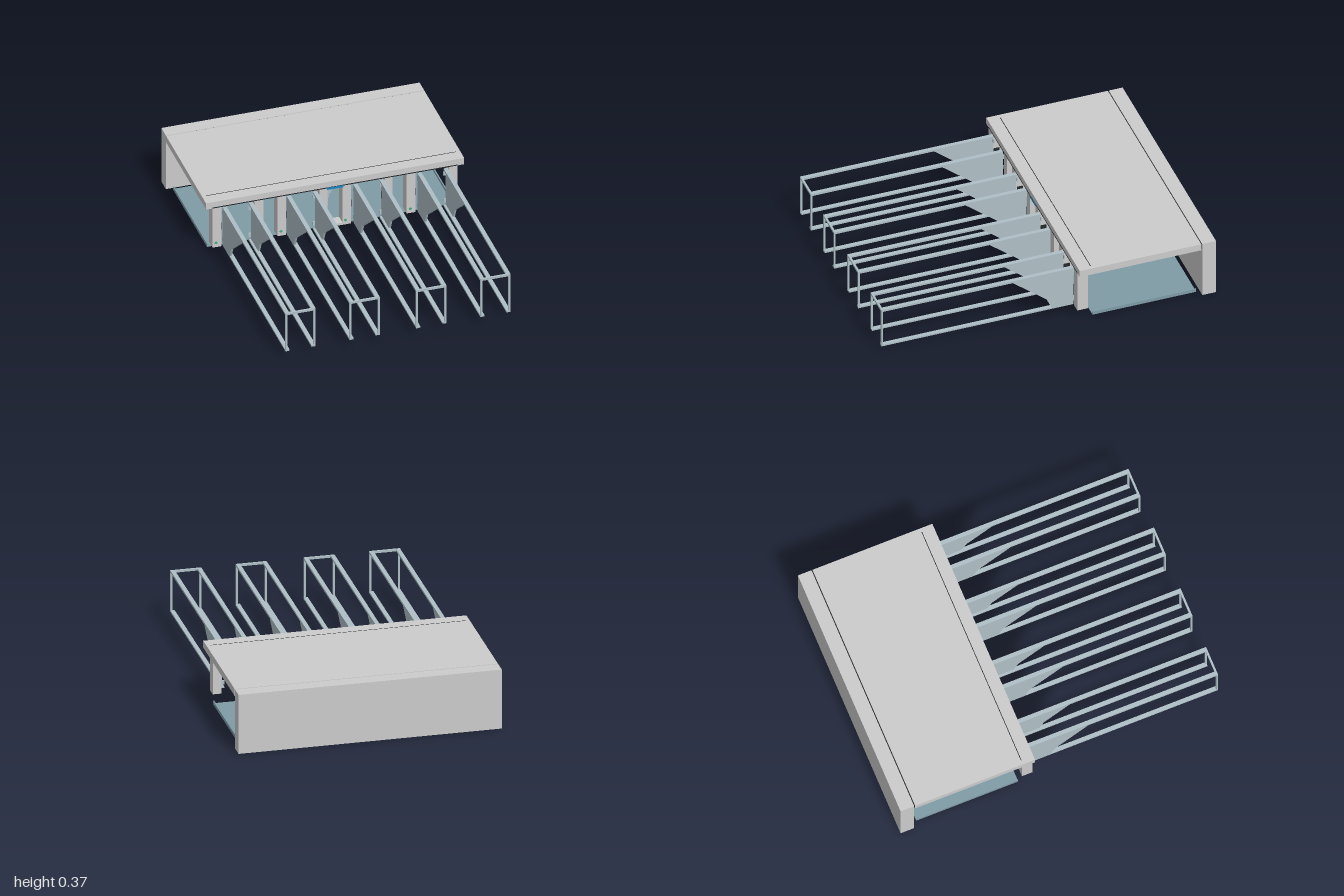
import * as THREE from 'three';

export function createModel() {
  const root = new THREE.Group();
  const mat = (color) => new THREE.MeshStandardMaterial({ color });
  const grey = mat(0xcccccc), steel = mat(0xafbfc6), sheet = mat(0x7f9ba6);
  const dark = mat(0x25282b), blue = mat(0x1b87c4), green = mat(0x3fae7c);

  const add = (name, geometry, material, parent = root) => {
    const mesh = new THREE.Mesh(geometry, material);
    mesh.name = name;
    parent.add(mesh);
    return mesh;
  };
  // box from its min and max on each axis
  const box = (name, x0, x1, y0, y1, z0, z1, material = grey, parent = root) => {
    const m = add(name, new THREE.BoxGeometry(x1 - x0, y1 - y0, z1 - z0), material, parent);
    m.position.set((x0 + x1) / 2, (y0 + y1) / 2, (z0 + z1) / 2);
    return m;
  };
  // disc lying across the z axis
  const disc = (name, x, y, z0, z1, r, material, parent = root) => {
    const g = new THREE.CylinderGeometry(r, r, z1 - z0, 32).rotateX(Math.PI / 2);
    add(name, g, material, parent).position.set(x, y, (z0 + z1) / 2);
  };

  // Housing: top slab, rear block, thin seam and front groove
  box('topCover', -0.775, 0.775, 0.322, 0.365, -0.91, -0.17);
  box('rearBlock', -0.775, 0.775, 0, 0.365, -1, -0.916);
  box('coverSeam', -0.77, 0.77, 0.325, 0.361, -0.917, -0.909, dark);
  box('coverGroove', -0.75, 0.75, 0.36, 0.3655, -0.247, -0.243, dark);

  // Bottom tray: folded sheet with raised lips
  const tray = new THREE.Group();
  tray.name = 'bottomTray';
  root.add(tray);
  box('trayFloor', -0.74, 0.74, 0.005, 0.011, -0.89, -0.26, sheet, tray);
  for (const s of [-1, 1]) {
    box('traySideLip', s * 0.736 - 0.004, s * 0.736 + 0.004, 0.011, 0.026, -0.89, -0.26, sheet, tray);
  }

  // Front posts with sensors on their lane side
  for (const s of [-1, 1]) {
    for (const [a, b, laneSide] of [[0.045, 0.095, 1], [0.295, 0.345, -1], [0.43, 0.483, 1], [0.683, 0.735, -1]]) {
      const x0 = s > 0 ? a : -b, x1 = s > 0 ? b : -a;
      box('frontPost', x0, x1, 0.055, 0.322, -0.235, -0.17);
      const face = s * (laneSide > 0 ? b : a);
      box('laneSensor', face - 0.006, face + 0.006, 0.162, 0.208, -0.215, -0.18, dark);
    }
  }
  for (const x of [-0.715, -0.325, 0.062, 0.452]) {
    disc('statusLight', x, 0.085, -0.172, -0.167, 0.008, green);
  }
  box('postBridge', -0.045, 0.045, 0.055, 0.07, -0.235, -0.17);

  // Side sheet of a guide, drawn as (z, y), with a long window
  const side = new THREE.Shape([[-0.17, 0.06], [1, 0.06], [1, 0.318], [-0.17, 0.318]]
    .map(([z, y]) => new THREE.Vector2(z, y)));
  side.holes.push(new THREE.Path([[0.99, 0.07], [-0.035, 0.07], [-0.005, 0.135], [0.2, 0.305], [0.99, 0.305]]
    .map(([z, y]) => new THREE.Vector2(z, y))));
  const sheetThickness = 0.012;
  const sideGeometry = new THREE.ExtrudeGeometry(side, { depth: sheetThickness, bevelEnabled: false })
    .rotateY(-Math.PI / 2); // shape x becomes z, depth runs to -x

  // Four lane guides
  for (const x of [-0.585, -0.2, 0.2, 0.585]) {
    const guide = new THREE.Group();
    guide.name = 'laneGuide';
    guide.position.x = x;
    root.add(guide);
    for (const s of [-1, 1]) {
      add('guideSide', sideGeometry, steel, guide).position.x = s > 0 ? 0.091 : -0.091 + sheetThickness;
      const inner = Math.min(s * 0.066, s * 0.091), outer = Math.max(s * 0.066, s * 0.091);
      box('topFlange', inner, outer, 0.306, 0.318, -0.17, 0.999, steel, guide);
      box('bottomFlange', inner, outer, 0.06, 0.07, -0.17, 0.999, steel, guide);
      for (const y of [0.097, 0.282]) {
        box('mountingTab', inner, outer, y - 0.013, y + 0.013, -0.176, -0.168, steel, guide);
      }
    }
    box('frontBar', -0.09, 0.09, 0.305, 0.318, 0.988, 1, steel, guide);
  }

  // Central drive on its hanging bracket
  box('driveRail', -0.03, 0.03, 0.055, 0.3, -0.411, -0.394, steel);
  box('drivePlate', -0.025, 0.025, 0.125, 0.25, -0.376, -0.364, steel);
  disc('driveHub', 0, 0.185, -0.396, -0.374, 0.03, dark);
  disc('driveFace', 0, 0.185, -0.364, -0.358, 0.042, steel);
  disc('driveMotor', 0, 0.185, -0.436, -0.41, 0.042, dark);
  box('bracketUpright', -0.045, 0.045, 0.18, 0.304, -0.449, -0.436, steel);
  box('bracketArm', -0.045, 0.045, 0.296, 0.304, -0.7, -0.436, steel);
  box('blueStrip', -0.05, 0.05, 0.312, 0.326, -0.24, -0.168, blue);

  // Boards under the cover
  for (const s of [-1, 1]) {
    box('circuitBoard', s * 0.385 - 0.095, s * 0.385 + 0.095, 0.312, 0.322, -0.85, -0.43, dark);
  }
  box('mainBoard', -0.09, 0.09, 0.308, 0.322, -0.85, -0.43, dark);
  box('coverShadowGap', -0.735, 0.735, 0.322, 0.328, -0.172, -0.1692, dark);

  return root;
}
